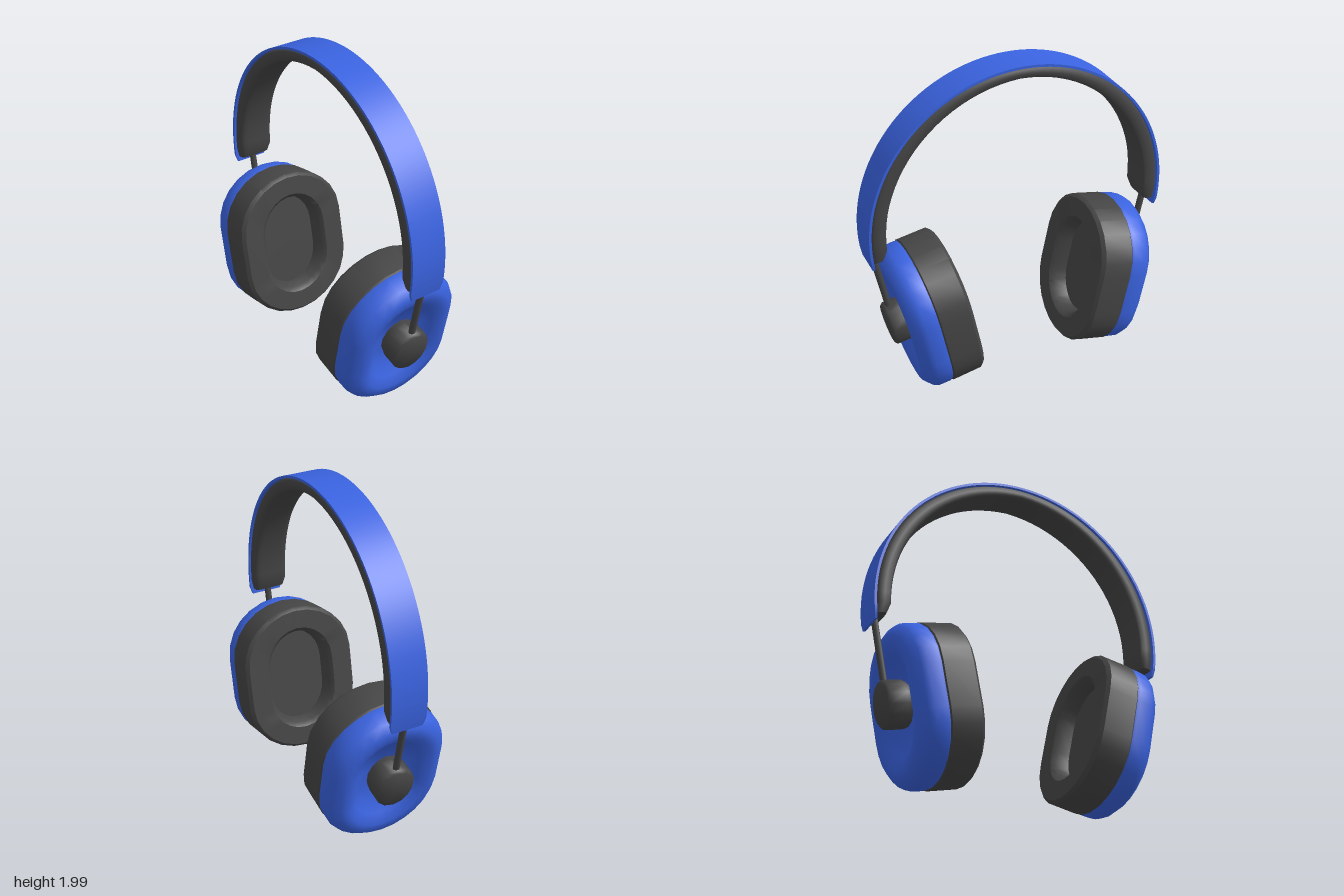
import * as THREE from 'three';
import { toCreasedNormals } from 'three/addons/utils/BufferGeometryUtils.js';

const blue = new THREE.MeshStandardMaterial({ color: 0x3a63e0 });
blue.name = 'blue shell';
const charcoal = new THREE.MeshStandardMaterial({ color: 0x454545 });
charcoal.name = 'charcoal padding';

const TILT = 0.2;      // lean of the ear cups
const ARC_Y = 1.08;    // centre height of the headband arc

// Skin a list of closed rings (each counter-clockwise seen from the next one).
function loft(rings, crease) {
  const pos = [];
  const tri = (a, b, c) => {
    if (a.distanceTo(b) < 1e-6 || b.distanceTo(c) < 1e-6 || c.distanceTo(a) < 1e-6) return;
    for (const p of [a, b, c]) pos.push(p.x, p.y, p.z);
  };
  for (let i = 0; i < rings.length - 1; i++) {
    const n = rings[i].length;
    for (let j = 0; j < n; j++) {
      const k = (j + 1) % n;
      tri(rings[i][j], rings[i][k], rings[i + 1][k]);
      tri(rings[i][j], rings[i + 1][k], rings[i + 1][j]);
    }
  }
  const geo = new THREE.BufferGeometry();
  geo.setAttribute('position', new THREE.Float32BufferAttribute(pos, 3));
  geo.computeVertexNormals();
  return toCreasedNormals(geo, crease);
}

// Rounded oval with straight sides, at depth z.
function oval([rx, ry, z]) {
  const pts = [];
  const straight = ry * 0.28;
  for (const side of [0, 1]) {
    for (let i = 0; i <= 12; i++) {
      const t = Math.PI * (side + i / 12);
      pts.push(new THREE.Vector3(rx * Math.cos(t),
        (ry - straight) * Math.sin(t) + (side ? -straight : straight), z));
    }
  }
  return pts;
}

// Sweep a section along the headband arc; section(t) gives [x, radius] pairs.
function arcBand(section, overhang, steps, crease) {
  const rings = [];
  for (let i = 0; i <= steps; i++) {
    const a = -overhang + (Math.PI + 2 * overhang) * i / steps;
    const fromEnd = Math.min(i, steps - i) / steps * (Math.PI + 2 * overhang);
    rings.push(section(a, fromEnd).map(([x, r]) =>
      new THREE.Vector3(x, ARC_Y + r * Math.sin(a), r * Math.cos(a))));
  }
  // close both ends
  const cap = (ring) => {
    const c = ring.reduce((s, p) => s.add(p), new THREE.Vector3()).divideScalar(ring.length);
    return ring.map(() => c);
  };
  return loft([cap(rings[0]), ...rings, cap(rings[steps])], crease);
}

function addMesh(parent, name, geometry, material) {
  const mesh = new THREE.Mesh(geometry, material);
  mesh.name = name;
  parent.add(mesh);
  return mesh;
}

function earCup(name) {
  const cup = new THREE.Group();
  cup.name = name;

  // ring cushion with a sunken centre
  addMesh(cup, 'earCushion', loft([
    [0, 0, -0.02], [0.185, 0.295, -0.02], [0.2, 0.31, -0.095], [0.225, 0.335, -0.12],
    [0.345, 0.45, -0.12], [0.365, 0.468, -0.1], [0.365, 0.47, 0.08], [0.355, 0.46, 0.09],
    [0, 0, 0.09],
  ].map(oval), 0.75), charcoal);

  // outer shell with a dished face
  addMesh(cup, 'cupShell', loft([
    [0, 0, 0.08], [0.355, 0.46, 0.08], [0.362, 0.467, 0.1], [0.36, 0.466, 0.17],
    [0.345, 0.45, 0.205], [0.3, 0.405, 0.245], [0.25, 0.345, 0.248], [0.2, 0.28, 0.215],
    [0.165, 0.23, 0.175], [0, 0, 0.165],
  ].map(oval), 0.9), blue);

  // pivot knob
  const knobProfile = [[0, 0.15], [0.12, 0.15], [0.14, 0.2], [0.14, 0.3], [0.125, 0.315], [0, 0.32]]
    .map(([r, y]) => new THREE.Vector2(r, y));
  const knob = addMesh(cup, 'pivotKnob',
    toCreasedNormals(new THREE.LatheGeometry(knobProfile, 14), 0.9), charcoal);
  knob.rotation.x = Math.PI / 2;
  knob.scale.x = 0.87;
  knob.position.y = 0.012;

  // slider rod running up into the headband
  const rod = addMesh(cup, 'sliderRod', new THREE.CylinderGeometry(0.02, 0.02, 0.56, 10), charcoal);
  rod.position.set(0, 0.33, 0.277);

  cup.position.set(0, 0.5, 0.5);
  cup.rotation.x = TILT;
  return cup;
}

export function createModel() {
  const model = new THREE.Group();
  model.name = 'headphones';

  // thin outer strip of the headband, corners trimmed at the ends
  addMesh(model, 'headbandShell', arcBand((a, fromEnd) => {
    const w = fromEnd < 0.01 ? 0.095 : 0.11;
    return [[-w, 0.92], [w, 0.92], [w, 0.905], [-w, 0.905]];
  }, 0.185, 72, 0.6), blue);

  // soft inner padding, thicker towards the ends and rounded off
  addMesh(model, 'headbandPadding', arcBand((a, fromEnd) => {
    const ends = Math.abs(Math.cos(a));
    const taper = Math.min(1, 0.7 + fromEnd * 4);
    const thick = (0.07 + 0.03 * ends) * taper;
    const w = 0.108 * Math.min(1, 0.88 + fromEnd * 2);
    const soft = (v) => Math.sign(v) * Math.pow(Math.abs(v), 0.45);
    return Array.from({ length: 20 }, (_, j) => {
      const p = j / 20 * Math.PI * 2;
      return [-w * soft(Math.cos(p)), 0.908 - thick / 2 + thick / 2 * soft(Math.sin(p))];
    });
  }, 0.14, 48, 0.9), charcoal);

  // matching ear cups at both ends
  model.add(earCup('frontEarCup'));
  const backSide = new THREE.Group();
  backSide.name = 'backSide';
  backSide.rotation.y = Math.PI;
  backSide.add(earCup('backEarCup'));
  model.add(backSide);

  return model;
}
